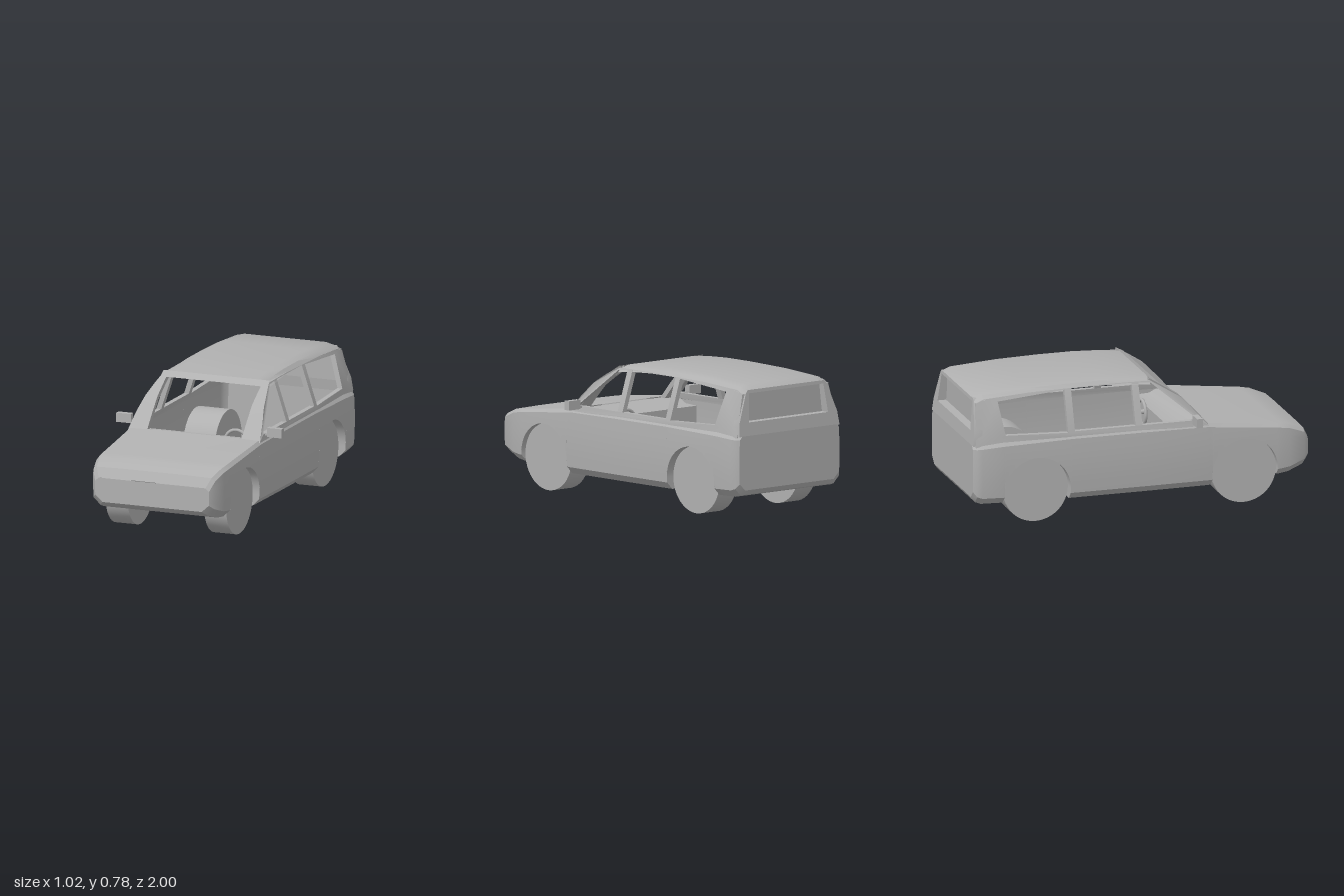
import * as THREE from 'three';
import { toCreasedNormals } from 'three/addons/utils/BufferGeometryUtils.js';

const paint = new THREE.MeshStandardMaterial({ color: 0xb0b0b0, side: THREE.DoubleSide });
paint.name = 'grey paint';

const WHEEL_R = 0.192, ARCH_R = 0.196, AXLES = [0.61, -0.625];

// stations along the lower body: z, underside y, top y, half width
const STATIONS = [
  [1, 0.21, 0.35, 0.35], [0.97, 0.185, 0.405, 0.375], [0.88, 0.155, 0.44, 0.395], [0.82, 0.148, 0.45, 0.402],
  [0.4, 0.122, 0.494, 0.415], [0.385, 0.122, 0.496, 0.416], [0, 0.122, 0.5, 0.42], [-0.42, 0.122, 0.5, 0.42],
  [-0.83, 0.13, 0.49, 0.418], [-0.95, 0.132, 0.482, 0.412], [-0.98, 0.142, 0.48, 0.403], [-1, 0.17, 0.48, 0.385],
];

function stationAt(z) {
  let i = 0;
  while (i < STATIONS.length - 2 && z < STATIONS[i + 1][0]) i++;
  const a = STATIONS[i], b = STATIONS[i + 1], t = (a[0] - z) / (a[0] - b[0]);
  return a.map((v, k) => v + (b[k] - v) * t);
}

// surface through rows of points
function grid(rows, crease = 0.5) {
  const pos = [], n = rows[0].length;
  const tri = (...p) => {
    const [a, b, c] = p.map(q => new THREE.Vector3(...q));
    if (b.clone().sub(a).cross(c.clone().sub(a)).length() > 1e-8) p.forEach(q => pos.push(...q));
  };
  for (let r = 0; r < rows.length - 1; r++) {
    for (let c = 0; c < n - 1; c++) {
      const A = rows[r], B = rows[r + 1];
      tri(A[c], B[c], A[c + 1]);
      tri(B[c], B[c + 1], A[c + 1]);
    }
  }
  const g = new THREE.BufferGeometry();
  g.setAttribute('position', new THREE.Float32BufferAttribute(pos, 3));
  return toCreasedNormals(g, crease);
}

function polygon(points, Type = THREE.Shape) {
  return new Type(points.map(p => new THREE.Vector2(...p)));
}

// extrude a shape, then move every vertex by a rule
function bentPanel(shape, depth, rule) {
  const g = new THREE.ExtrudeGeometry(shape, { depth, bevelEnabled: false });
  const p = g.attributes.position;
  for (let i = 0; i < p.count; i++) p.setXYZ(i, ...rule(p.getX(i), p.getY(i), p.getZ(i)));
  return toCreasedNormals(g, 0.5);
}

// outer face of the cabin side
function cabinX(y, z) {
  const u = (y - 0.49) / 0.28;
  return 0.405 - 0.04 * u - 0.05 * u * u - Math.max(0, -0.93 - z) * 0.3;
}

// half section of the lower body; archY lifts the part over a wheel
function section(z, archY = 0) {
  const [, yb, top, w] = stationAt(z);
  const sideX = y => w - 0.25 * (y - 0.32) ** 2;
  const ya = Math.max(yb, archY), low = archY ? ya : yb + 0.04, shoulder = top - 0.02;
  const pts = [[0, yb, z], [0.225, yb, z], [0.225, ya, z], [archY ? sideX(ya) : w - 0.045, ya, z]];
  for (let i = 0; i <= 5; i++) {
    const y = low + (shoulder - low) * i / 5;
    pts.push([sideX(y), y, z]);
  }
  pts.push([w - 0.022, top, z]);
  return pts;
}

const flip = pts => pts.map(([x, y, z]) => [-x, y, z]);

export function createModel() {
  const car = new THREE.Group();
  car.name = 'car';
  const add = (name, geometry, parent = car) => {
    const m = new THREE.Mesh(geometry, paint);
    m.name = name;
    parent.add(m);
    return m;
  };
  const addPair = (name, geometry) => {
    add('left' + name, geometry);
    add('right' + name, geometry).scale.x = -1;
  };

  // lower body with wheel arches
  const plain = STATIONS.map(s => s[0]).filter(z => AXLES.every(a => Math.abs(z - a) > ARCH_R));
  const columns = plain.map(z => ({ z, order: z, pts: section(z) }));
  for (const axle of AXLES) {
    const steps = 24;
    columns.push({ order: axle + ARCH_R + 1e-4, pts: section(axle + ARCH_R) });
    columns.push({ order: axle - ARCH_R - 1e-4, pts: section(axle - ARCH_R) });
    for (let i = 0; i <= steps; i++) {
      const a = Math.PI * i / steps, z = axle + ARCH_R * Math.cos(a);
      columns.push({ order: z, pts: section(z, WHEEL_R + ARCH_R * Math.sin(a)) });
    }
  }
  columns.sort((a, b) => b.order - a.order);
  addPair('LowerBody', grid(columns.map(c => c.pts)));

  // nose and tail faces
  const nose = section(1), tail = section(-1);
  add('noseFace', grid([flip(nose), nose]));
  add('tailFace', grid([tail, flip(tail)]));

  // bonnet
  const bonnet = [1, 0.97, 0.88, 0.82, 0.6, 0.385].map(z => {
    const [, , top, w] = stationAt(z);
    return [[w - 0.022, top, z], [0.2, top + 0.003, z], [-0.2, top + 0.003, z], [0.022 - w, top, z]];
  });
  add('bonnet', grid(bonnet));

  // cabin sides with three windows each, drawn in (-z, y)
  const side = polygon([
    [-0.395, 0.485], [0.4, 0.485], [0.985, 0.47], [0.965, 0.715], [0.92, 0.735],
    [0.65, 0.75], [0.2, 0.758], [-0.07, 0.755], [-0.24, 0.655],
  ]);
  side.holes = [
    [[-0.335, 0.52], [0, 0.52], [0, 0.75], [-0.07, 0.745]],
    [[0.04, 0.52], [0.4, 0.52], [0.4, 0.752], [0.04, 0.752]],
    [[0.44, 0.515], [0.81, 0.53], [0.84, 0.718], [0.44, 0.748]],
  ].map(w => polygon(w, THREE.Path));
  addPair('CabinSide', bentPanel(side, 0.03, (a, y, d) => [cabinX(y, -a) - 0.03 + d, y, -a]));

  // roof
  const roof = [[0.07, 0.768], [-0.05, 0.78], [-0.2, 0.787], [-0.4, 0.787], [-0.65, 0.781], [-0.92, 0.763], [-0.972, 0.737]];
  const roofRow = ([z, y]) => {
    const edge = y - (z < -0.95 ? 0.02 : 0.035), half =
      [[cabinX(edge, z), edge, z], [0.3, y - 0.012, z], [0.25, y, z]];
    return [...half, ...flip(half).reverse()];
  };
  add('roof', grid(roof.map(roofRow)));
  add('roofHeader', grid([[0.118, 0.742], [0.07, 0.768]].map(([z, y]) =>
    [[0.325, y, z], [0.29, y, z], [-0.29, y, z], [-0.325, y, z]])));

  // windscreen pillars
  const pillar = [[0.39, 0.495], [0.315, 0.58], [0.24, 0.658], [0.155, 0.715], [0.07, 0.766]].map(([z, y]) => {
    const outer = cabinX(y, z), inner = 0.29;
    return [[outer, y, z], [inner, y, z], [inner, y - 0.02, z - 0.02], [outer - 0.02, y - 0.02, z - 0.02], [outer, y, z]];
  });
  addPair('WindscreenPillar', grid(pillar));

  // tailgate frame and recessed rear window
  const gate = polygon([[-0.385, 0.478], [0.385, 0.478], [0.375, 0.555], [0.31, 0.72], [0.295, 0.737],
    [-0.295, 0.737], [-0.31, 0.72], [-0.375, 0.555]]);
  gate.holes = [polygon([[-0.305, 0.555], [0.305, 0.555], [0.285, 0.718], [-0.285, 0.718]], THREE.Path)];
  const gateZ = (y, d) => -1 + (y - 0.478) * 0.11 + 0.05 - d;
  add('tailgateFrame', bentPanel(gate, 0.05, (x, y, d) => [-x, y, gateZ(y, d)]));
  const rearWindow = new THREE.BoxGeometry(0.62, 0.19, 0.008);
  rearWindow.translate(0, 0.638, -0.935);
  add('rearWindow', rearWindow);

  // dashboard
  const dash = [[0.39, 0.492], [0.35, 0.49], [0.29, 0.46], [0.2, 0.455], [0.2, 0.3]];
  add('dashboard', grid(dash.map(([z, y]) => [[0.39, y, z], [-0.39, y, z]])));

  // steering wheel and column
  const rim = add('steeringWheel', new THREE.TorusGeometry(0.07, 0.01, 8, 28));
  rim.position.set(0.17, 0.42, 0.18);
  const column = add('steeringColumn', new THREE.CylinderGeometry(0.014, 0.014, 0.05, 12).rotateX(Math.PI / 2));
  column.position.set(0.17, 0.42, 0.185);

  // wing mirrors
  addPair('MirrorHousing', new THREE.BoxGeometry(0.09, 0.053, 0.034).translate(0.463, 0.532, 0.308));
  addPair('MirrorStalk', new THREE.BoxGeometry(0.045, 0.014, 0.016).translate(0.41, 0.517, 0.305));

  // wheels
  const wheel = toCreasedNormals(
    new THREE.CylinderGeometry(WHEEL_R, WHEEL_R, 0.136, 48).rotateZ(Math.PI / 2).translate(0.303, WHEEL_R + 0.003, 0), 0.5);
  AXLES.forEach((z, i) => addPair(i ? 'RearWheel' : 'FrontWheel', wheel.clone().translate(0, 0, z)));

  return car;
}
